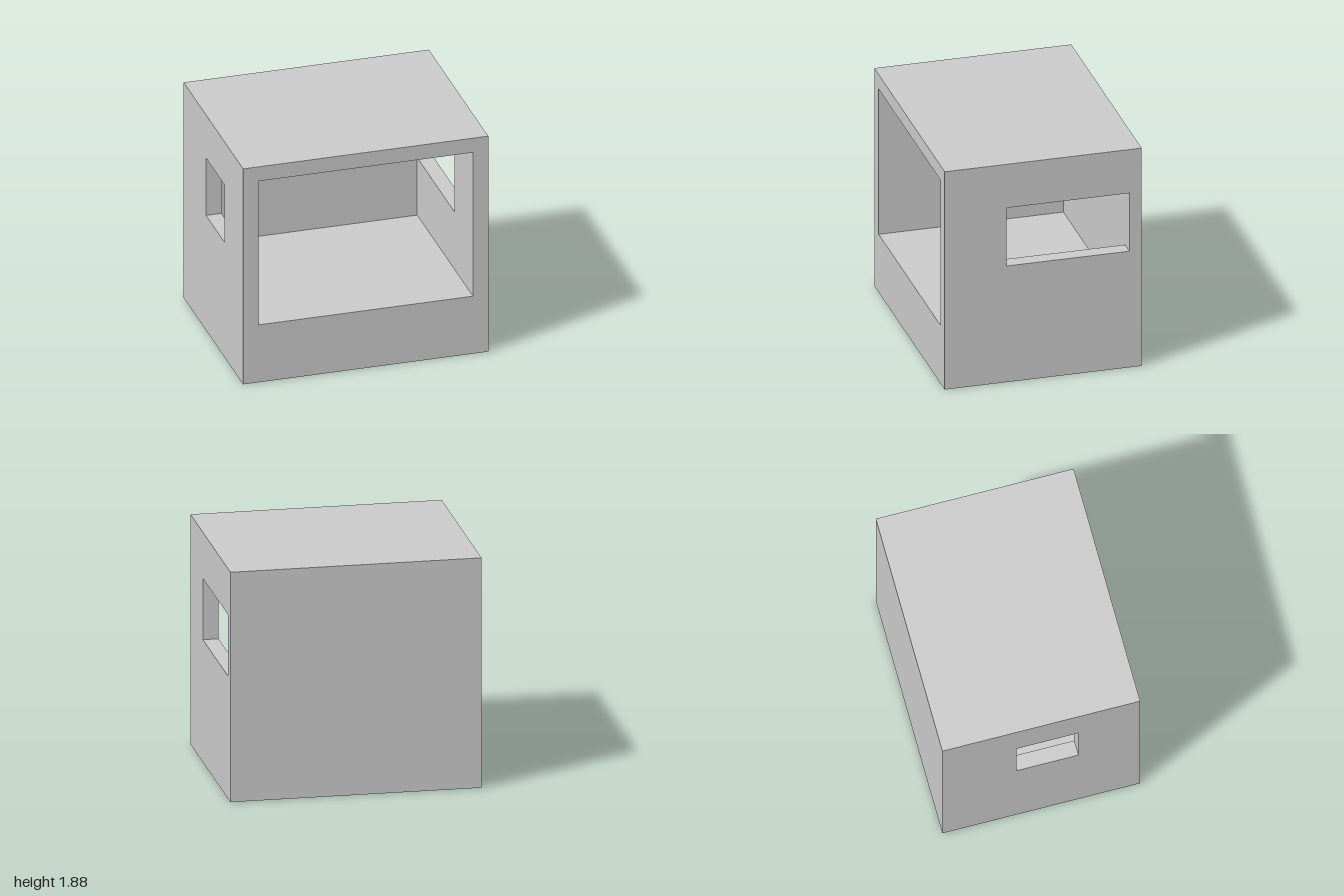
import * as THREE from 'three';

const H = Math.PI / 2;
// Facing directions: [rotation about x, rotation about y, axis of the offset, its sign, signs of the flat coordinates]
// Outlines are given as (x, y) for front/back, (z, y) for left/right, (x, z) for up/down.
const FACING = {
  front: [0, 0, 'z', 1, 1, 1],
  back: [0, Math.PI, 'z', -1, -1, 1],
  left: [0, H, 'x', 1, -1, 1],
  right: [0, -H, 'x', -1, 1, 1],
  up: [-H, 0, 'y', 1, 1, -1],
  down: [H, 0, 'y', -1, 1, 1],
};

const rect = (a0, a1, b0, b1) => [[a0, b0], [a1, b0], [a1, b1], [a0, b1]];

export function createModel() {
  const group = new THREE.Group();
  const material = new THREE.MeshStandardMaterial({ color: 0xcccccc, flatShading: true });

  // Flat wall surface facing one way, with an optional opening
  function panel(name, facing, offset, outline, opening) {
    const [rx, ry, axis, , su, sv] = FACING[facing];
    const local = (pts) => pts.map(([u, v]) => new THREE.Vector2(u * su, v * sv));
    const shape = new THREE.Shape(local(outline));
    if (opening) shape.holes.push(new THREE.Path(local(opening)));
    const mesh = new THREE.Mesh(new THREE.ShapeGeometry(shape), material);
    mesh.name = name;
    mesh.rotation.set(rx, ry, 0);
    mesh.position[axis] = offset;
    group.add(mesh);
  }

  const W = 1, D = 0.8, top = 1.875;                            // outside
  const w = 0.875, back = -0.7, floor = 0.5, ceiling = 1.75;    // inside
  const sill = 1, head = 1.5, near = 0.3, far = -0.2;           // side windows
  const mouth = rect(-w, w, floor, ceiling);
  const wideWindow = rect(back, near, sill, head);
  const smallWindow = rect(far, near, sill, head);

  // Outer shell
  panel('frontWall', 'front', D, rect(-W, W, 0, top), mouth);
  panel('backWall', 'back', -D, rect(-W, W, 0, top));
  panel('leftWall', 'left', W, rect(-D, D, 0, top), wideWindow);
  panel('rightWall', 'right', -W, rect(-D, D, 0, top), smallWindow);
  panel('roof', 'up', top, rect(-W, W, -D, D));
  panel('underside', 'down', 0, rect(-W, W, -D, D));

  // Room inside
  panel('floor', 'up', floor, rect(-w, w, back, D));
  panel('ceiling', 'down', ceiling, rect(-w, w, back, D));
  panel('rightInnerWall', 'left', -w, rect(back, D, floor, ceiling), smallWindow);
  // The wide window runs to the back corner, so this wall is notched
  panel('leftInnerWall', 'right', w, [
    [back, floor], [D, floor], [D, ceiling], [back, ceiling],
    [back, head], [near, head], [near, sill], [back, sill],
  ]);
  // The back wall carries on into the wide window as its rear jamb
  panel('backInnerWall', 'front', back, [
    [-w, floor], [w, floor], [w, sill], [W, sill],
    [W, head], [w, head], [w, ceiling], [-w, ceiling],
  ]);

  // Window reveals through the side walls
  for (const [side, x0, x1, rear] of [['left', w, W, back], ['right', -W, -w, far]]) {
    panel(side + 'WindowSill', 'up', sill, rect(x0, x1, rear, near));
    panel(side + 'WindowHead', 'down', head, rect(x0, x1, rear, near));
    panel(side + 'WindowFrontJamb', 'back', near, rect(x0, x1, sill, head));
  }
  panel('rightWindowRearJamb', 'front', far, rect(-W, -w, sill, head));

  return group;
}
